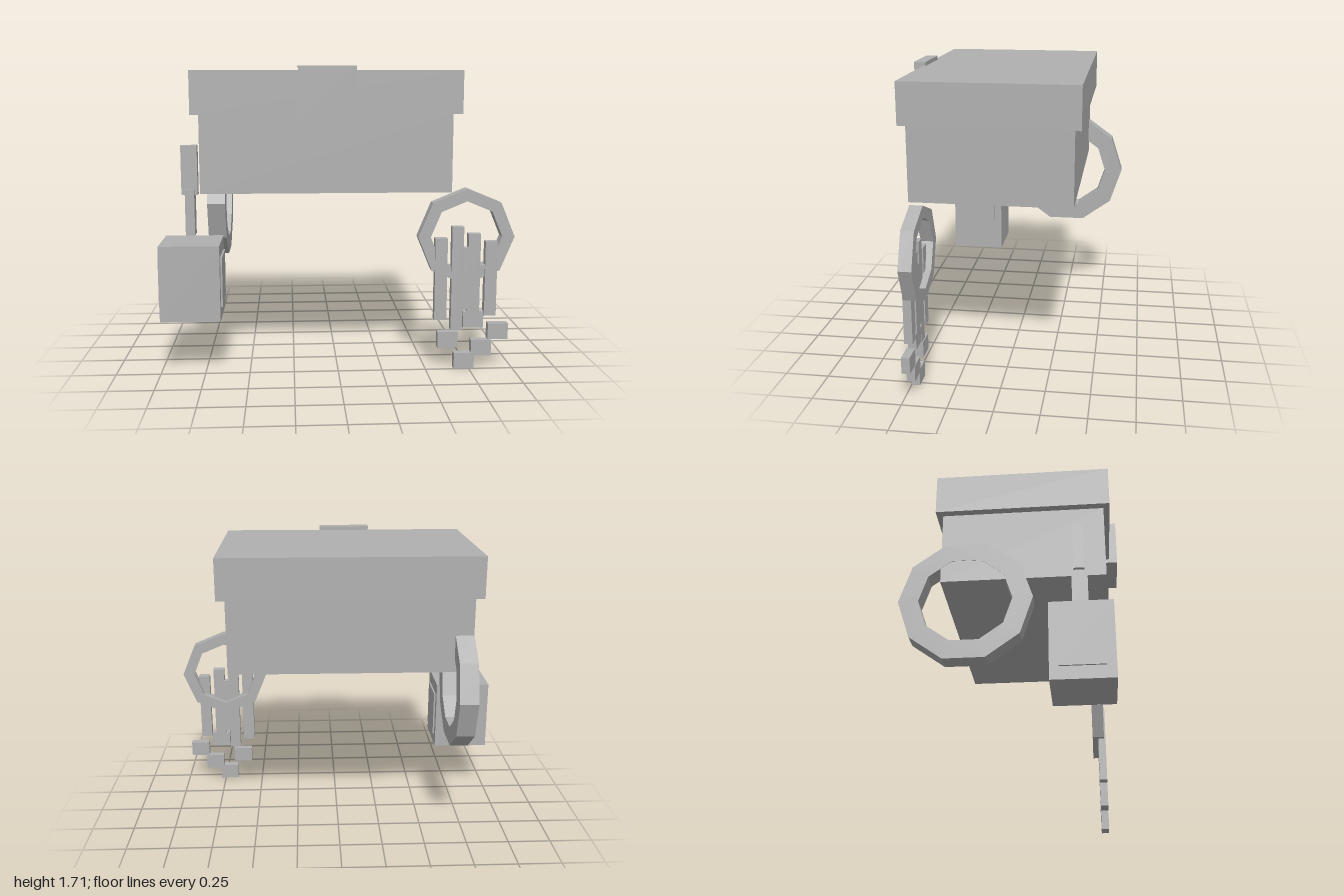
import * as THREE from 'three';

const grey = new THREE.MeshStandardMaterial({ color: 0xb0b0b0, flatShading: true });
grey.name = 'plain grey';

// Box given by its low and high limits on each axis
function block(parent, name, [x0, x1], [y0, y1], [z0, z1]) {
  const mesh = new THREE.Mesh(new THREE.BoxGeometry(x1 - x0, y1 - y0, z1 - z0), grey);
  mesh.position.set((x0 + x1) / 2, (y0 + y1) / 2, (z0 + z1) / 2);
  mesh.name = name;
  parent.add(mesh);
  return mesh;
}

// Hoop of straight box segments around the z axis; outer corners touch
function hoop(name, sides, radius, thickness, width, startAngle) {
  const group = new THREE.Group();
  group.name = name;
  const step = (Math.PI * 2) / sides;
  const length = 2 * radius * Math.sin(step / 2);
  const middle = radius * Math.cos(step / 2) - thickness / 2;
  const geometry = new THREE.BoxGeometry(thickness, length, width);
  for (let i = 0; i < sides; i++) {
    const a = startAngle + i * step;
    const segment = new THREE.Mesh(geometry, grey);
    segment.name = 'hoopSegment';
    segment.position.set(middle * Math.cos(a), middle * Math.sin(a), 0);
    segment.rotation.z = a;
    group.add(segment);
  }
  return group;
}

export function createModel() {
  const model = new THREE.Group();
  model.name = 'chestWithHangings';

  // Chest
  block(model, 'chestBody', [-0.755, 0.627], [1.025, 1.455], [-0.38, 0.522]);
  block(model, 'chestLid', [-0.798, 0.673], [1.455, 1.69], [-0.416, 0.556]);
  block(model, 'latch', [-0.22, 0.09], [1.43, 1.714], [0.537, 0.605]);

  // Lantern hanging from two crossed links
  const lantern = new THREE.Group();
  lantern.name = 'lantern';
  model.add(lantern);
  block(lantern, 'upperLink', [-0.87, -0.78], [1.005, 1.28], [0.348, 0.405]);
  block(lantern, 'lowerLink', [-0.85, -0.798], [0.778, 1.035], [0.335, 0.42]);
  block(lantern, 'lanternBox', [-0.99, -0.656], [0.315, 0.74], [0.217, 0.545]);
  block(lantern, 'rightPane', [-1.0, -0.99], [0.385, 0.665], [0.262, 0.495]);
  block(lantern, 'leftPane', [-0.656, -0.646], [0.385, 0.665], [0.262, 0.495]);

  // Large hoop at the back corner, standing in the side plane
  const coil = hoop('backHoop', 10, 0.366, 0.105, 0.106, Math.PI / 2);
  coil.rotation.y = Math.PI / 2;
  coil.position.set(-0.704, 0.91, -0.24);
  model.add(coil);

  // Small hoop at the front corner
  const charm = hoop('frontHoop', 8, 0.273, 0.065, 0.073, Math.PI / 8);
  charm.position.set(0.722, 0.766, 0.453);
  model.add(charm);

  // Strips hanging in the hoop: x range, y range
  const strips = [
    [[0.545, 0.615], [0.29, 0.76]],
    [[0.64, 0.706], [0.23, 0.825]],
    [[0.685, 0.755], [0.35, 0.705]],
    [[0.733, 0.802], [0.32, 0.785]],
    [[0.83, 0.898], [0.312, 0.74]],
  ];
  for (const [x, y] of strips) block(model, 'hangingStrip', x, y, [0.452, 0.499]);

  // Loose tips below the strips: left edge, bottom edge
  const tips = [[0.567, 0.125], [0.663, 0], [0.711, 0.243], [0.76, 0.075], [0.855, 0.172]];
  for (const [x, y] of tips) {
    block(model, 'stripTip', [x, x + 0.116], [y, y + 0.093], [0.452, 0.499]);
  }
  return model;
}
